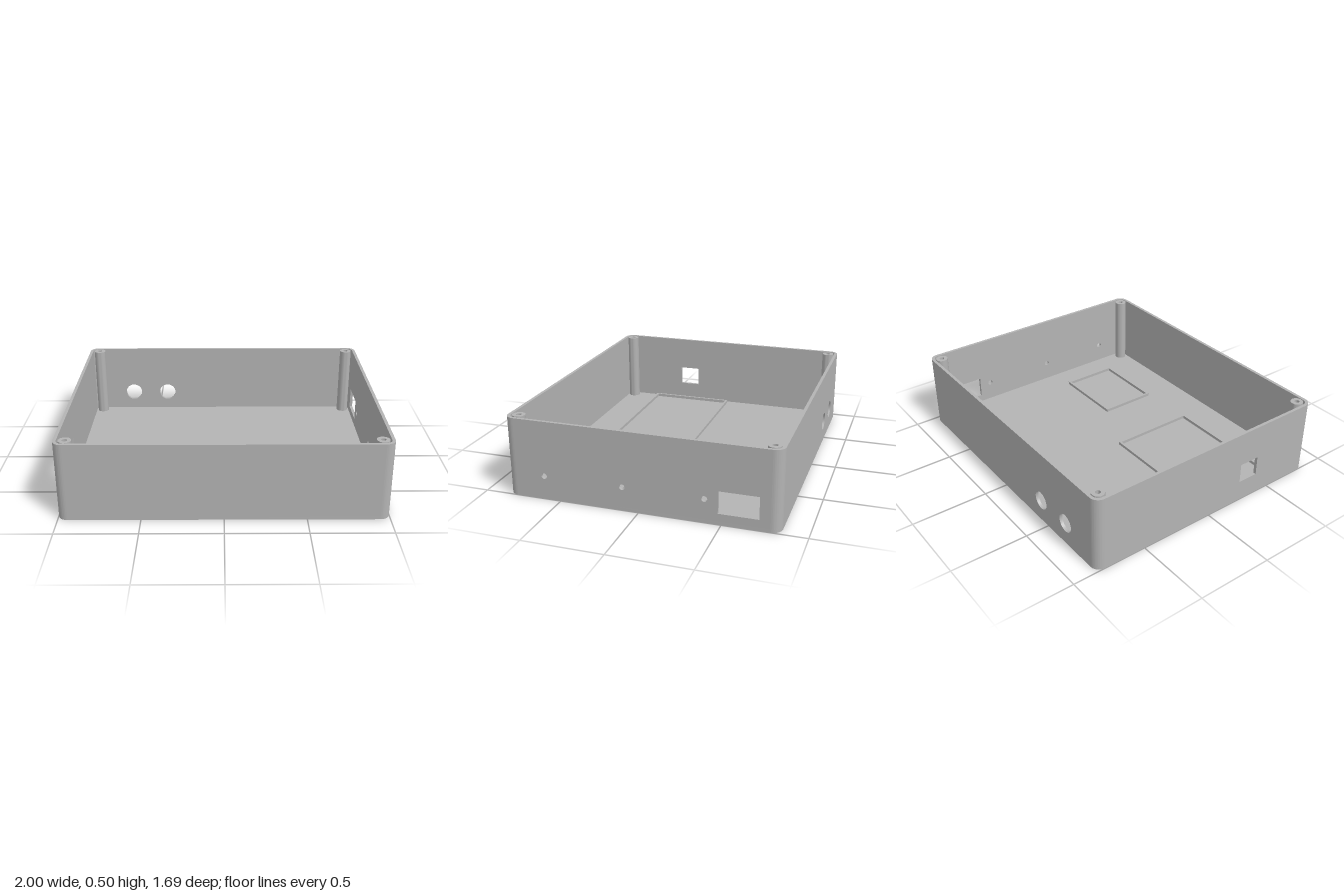
import * as THREE from 'three';
import { toCreasedNormals } from 'three/addons/utils/BufferGeometryUtils.js';

const W = 1, D = 0.845, H = 0.5;     // half width, half depth, height
const T = 0.02, R = 0.06;            // wall thickness, outer corner radius

const plastic = new THREE.MeshStandardMaterial({ color: 0xb3b3b3 });
plastic.name = 'grey plastic';

function extrude(shape, depth) {
  const geo = new THREE.ExtrudeGeometry(shape, { depth, bevelEnabled: false, curveSegments: 16 });
  return toCreasedNormals(geo, 0.6);
}

// Extrude a plan outline upwards from height y
function extrudeUp(shape, height, y) {
  return extrude(shape, height).rotateX(-Math.PI / 2).translate(0, y, 0);
}

function rect(x0, y0, x1, y1, Kind = THREE.Path) {
  const p = new Kind();
  p.moveTo(x0, y0);
  p.lineTo(x1, y0);
  p.lineTo(x1, y1);
  p.lineTo(x0, y1);
  p.closePath();
  return p;
}

function circle(x, y, r, Kind = THREE.Path) {
  const p = new Kind();
  p.absarc(x, y, r, 0, Math.PI * 2, false);
  return p;
}

export function createModel() {
  const model = new THREE.Group();
  model.name = 'enclosure';
  const add = (name, geo) => {
    const mesh = new THREE.Mesh(geo, plastic);
    mesh.name = name;
    model.add(mesh);
    return mesh;
  };

  // Floor plate with rounded corners
  const plan = new THREE.Shape();
  plan.absarc(W - R, D - R, R, 0, Math.PI / 2);
  plan.absarc(-W + R, D - R, R, Math.PI / 2, Math.PI);
  plan.absarc(-W + R, -D + R, R, Math.PI, Math.PI * 1.5);
  plan.absarc(W - R, -D + R, R, Math.PI * 1.5, Math.PI * 2);
  add('floor', extrudeUp(plan, T, 0));

  // Straight walls with their cut-outs, drawn as seen from outside
  const wall = (name, half, distance, angle, holes) => {
    const shape = rect(-half + R, T, half - R, H, THREE.Shape);
    shape.holes.push(...holes);
    add(name, extrude(shape, T).translate(0, 0, distance - T).rotateY(angle));
  };
  wall('frontWall', W, D, 0, []);
  wall('backWall', W, D, Math.PI, [0.43, 0.69].map(u => circle(u, 0.15, 0.06)));
  wall('leftWall', D, W, Math.PI / 2, [
    ...[-0.6, -0.1, 0.4].map(u => circle(u, 0.15, 0.018)),
    rect(0.48, 0.07, 0.72, 0.21),
  ]);
  wall('rightWall', D, W, -Math.PI / 2, [rect(0.25, 0.14, 0.39, 0.27)]);

  // Rounded wall corners and hollow screw posts
  const arc = new THREE.Shape();
  arc.absarc(0, 0, R, 0, Math.PI / 2, false);
  arc.absarc(0, 0, R - T, Math.PI / 2, 0, true);
  arc.closePath();
  const cornerGeo = extrudeUp(arc, H - T, T);
  const ring = circle(0, 0, 0.04, THREE.Shape);
  ring.holes.push(circle(0, 0, 0.016));
  const postGeo = extrudeUp(ring, H - T, T);
  [[1, -1], [-1, -1], [-1, 1], [1, 1]].forEach(([sx, sz], k) => {
    const corner = add('wallCorner', cornerGeo);
    corner.position.set(sx * (W - R), 0, sz * (D - R));
    corner.rotation.y = k * Math.PI / 2;
    add('screwPost', postGeo).position.set(sx * 0.93, 0, sz * 0.78);
  });

  // Low raised frames that locate the boards on the floor
  const frame = (name, x0, z0, x1, z1) => {
    const b = 0.015;
    const shape = rect(x0, -z1, x1, -z0, THREE.Shape);
    shape.holes.push(rect(x0 + b, -z1 + b, x1 - b, -z0 - b));
    add(name, extrudeUp(shape, 0.02, T));
  };
  frame('largeBoardFrame', -0.955, 0, -0.085, 0.59);
  frame('smallBoardFrame', 0.295, 0.18, 0.8, 0.57);

  return model;
}
